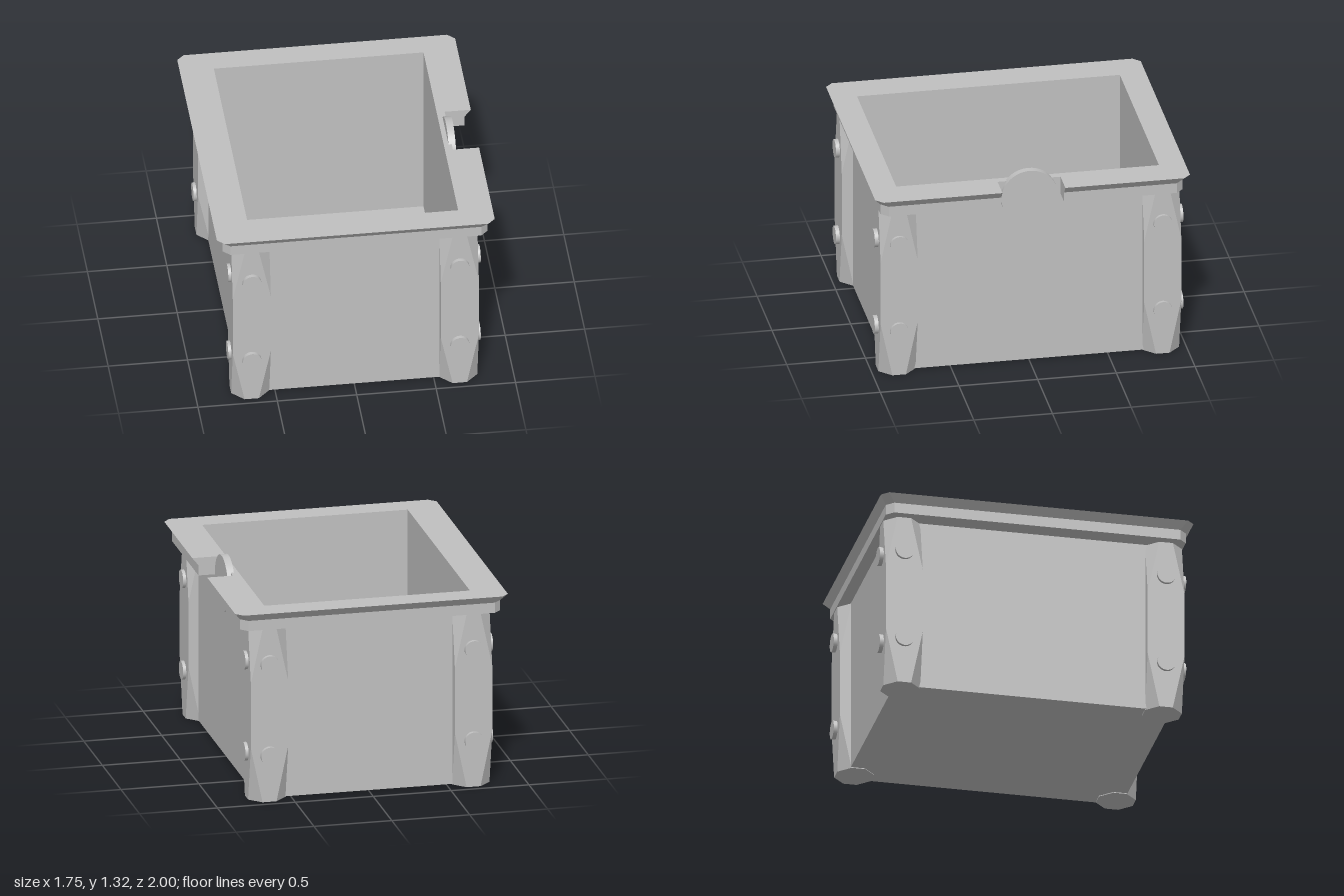
import * as THREE from 'three';
import { ConvexGeometry } from 'three/addons/geometries/ConvexGeometry.js';

const H = 1.25;                        // overall rim height
const OUT = [0.71, 0.885];             // outer half size of the box (x, z)
const INN = [0.66, 0.835];             // inner half size of the box
const POST = { x: 0.655, z: 0.8375, hx: 0.12, hz: 0.118, c: 0.075, top: 1.135, low: 0.36, high: 0.785 };

const v2 = ([x, z]) => new THREE.Vector2(x, z);
const rect = ([x, z]) => [[-x, -z], [x, -z], [x, z], [-x, z]].map(v2);

// Extrudes an (x, z) outline downward from y = top
function slab(shape, top, depth) {
  const g = new THREE.ExtrudeGeometry(shape, { depth, bevelEnabled: false });
  g.rotateX(Math.PI / 2);
  g.translate(0, top, 0);
  return g;
}

// Rim outline: chamfered rectangle around the box, open at the notch on +x
function rimShape() {
  const x = 0.835, z = 0.96, c = 0.045, n = 0.2, [bx, bz] = OUT;
  return new THREE.Shape([
    [x, n], [x, z - c], [x - c, z], [c - x, z], [-x, z - c], [-x, c - z], [c - x, -z], [x - c, -z], [x, c - z], [x, -n],
    [bx, -n], [bx, -bz], [-bx, -bz], [-bx, bz], [bx, bz], [bx, n],
  ].map(v2));
}

// One outer wall of a corner post, a bar whose corners are cut off towards both ends.
// h: half width, o: half width along the outward axis, t: inner cut position
function postSide(h, o, t, toWorld) {
  const { c, top, low, high } = POST;
  const pts = [];
  for (const s of [-1, 1]) {
    for (const y of [low, high]) pts.push(toWorld(s * h, y, o));
    for (const y of [0, top]) {
      pts.push(toWorld(s * (h - c), y, o), toWorld(s * h, y, o - c), toWorld(s * h, y, t));
    }
  }
  return new ConvexGeometry(pts);
}

export function createModel() {
  const model = new THREE.Group();
  model.name = 'container';
  const grey = new THREE.MeshStandardMaterial({ color: 0xc0c0c0 });
  grey.name = 'plain grey';

  const add = (name, geometry, parent = model) => {
    const mesh = new THREE.Mesh(geometry, grey);
    mesh.name = name;
    parent.add(mesh);
    return mesh;
  };

  // Open box: four walls and a floor
  const wall = new THREE.Shape(rect(OUT));
  wall.holes.push(new THREE.Path(rect(INN)));
  add('walls', slab(wall, H, H - 0.005));
  add('floor', slab(new THREE.Shape(rect(INN)), 0.055, 0.05));

  // Rim: straight lower band and a lip flaring outward to the top
  add('rimBand', slab(rimShape(), 1.2, 0.067));
  const lip = slab(rimShape(), H, 0.05);
  const p = lip.attributes.position;
  for (let i = 0; i < p.count; i++) {
    if (p.getY(i) < H - 0.01) continue;
    const x = p.getX(i), z = p.getZ(i);
    if (Math.abs(x) > 0.75) p.setX(i, x + Math.sign(x) * 0.04);
    if (Math.abs(z) > 0.9) p.setZ(i, z + Math.sign(z) * 0.04);
  }
  lip.computeVertexNormals();
  add('rimLip', lip);

  // Round plate standing in the notch
  const disc = new THREE.CylinderGeometry(0.18, 0.18, 0.045, 48).rotateZ(Math.PI / 2);
  add('latchDisc', disc).position.set(0.7125, 1.14, 0);

  // Corner posts with bolts on both outer faces
  const { x: px, z: pz, hx, hz, c } = POST;
  const boltX = new THREE.CylinderGeometry(0.059, 0.059, 0.05, 32).rotateZ(Math.PI / 2);
  const boltZ = new THREE.CylinderGeometry(0.059, 0.059, 0.05, 32).rotateX(Math.PI / 2);
  const foot = new THREE.Shape([
    [hx, c - hz], [hx, hz - c], [hx - c, hz], [c - hx, hz], [-hx, hz - c], [-hx, c - hz], [c - hx, -hz], [hx - c, -hz],
  ].map(v2));

  for (const sx of [-1, 1]) for (const sz of [-1, 1]) {
    const post = new THREE.Group();
    post.name = `${sz > 0 ? 'front' : 'back'}${sx > 0 ? 'Left' : 'Right'}Post`;
    post.position.set(sx * px, 0, sz * pz);
    model.add(post);
    add('postEndFace', postSide(hx, hz, 0.86 - pz, (a, y, o) => new THREE.Vector3(a, y, sz * o)), post);
    add('postSideFace', postSide(hz, hx, 0.685 - px, (a, y, o) => new THREE.Vector3(sx * o, y, a)), post);
    add('postFoot', slab(foot, 0.01, 0.01), post);
    for (const y of [0.305, 0.905]) {
      add('sideBolt', boltX, post).position.set(sx * (hx - 0.005), y, 0);
      add('endBolt', boltZ, post).position.set(0, y, sz * hz);
    }
  }
  return model;
}
